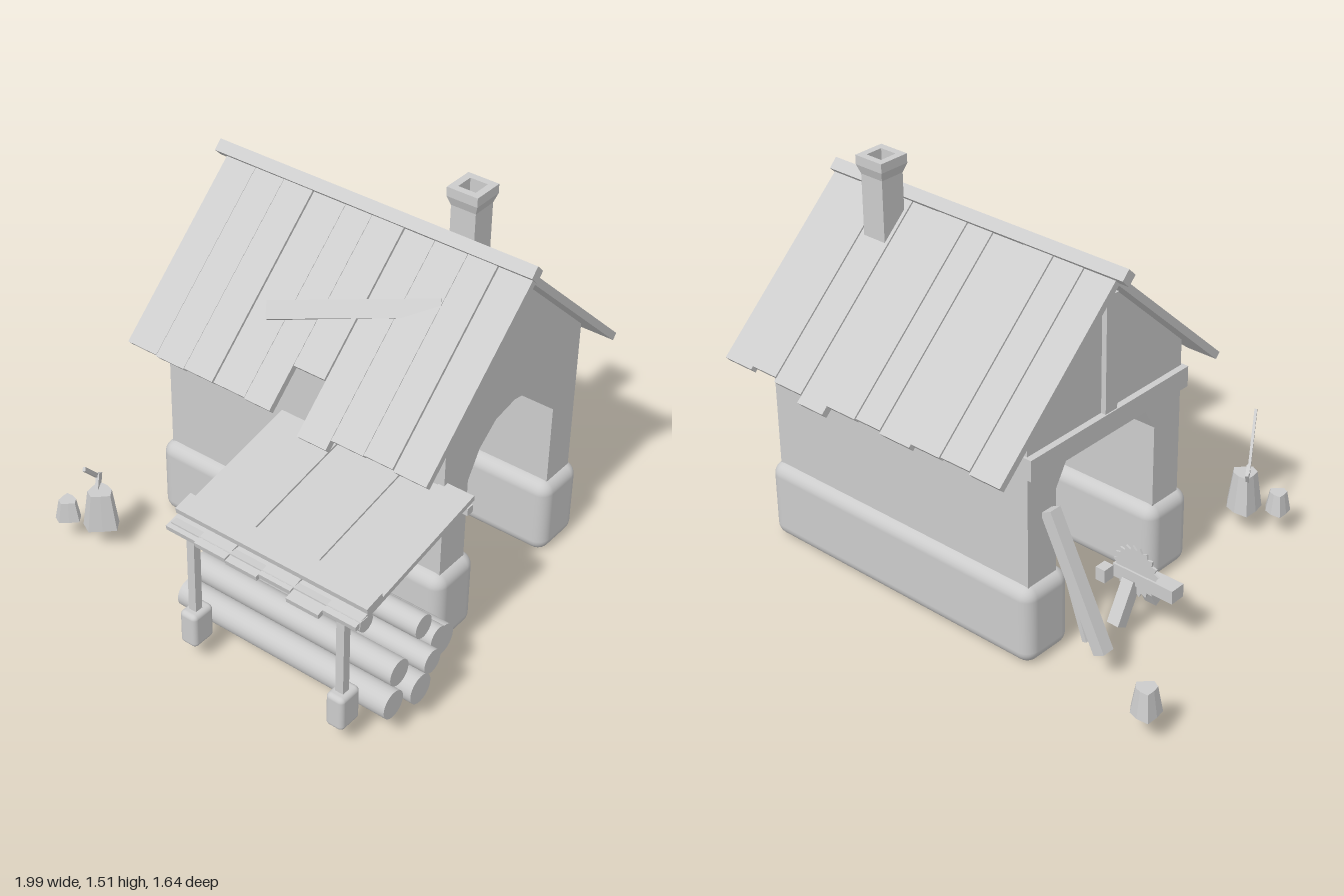
import * as THREE from 'three';
import { RoundedBoxGeometry } from 'three/addons/geometries/RoundedBoxGeometry.js';

const V = (x, y, z) => new THREE.Vector3(x, y, z);
const mat = new THREE.MeshStandardMaterial({ color: 0xcccccc });
const flat = new THREE.MeshStandardMaterial({ color: 0xcccccc, flatShading: true });

export function createModel() {
  const root = new THREE.Group();

  const add = (name, geometry, x = 0, y = 0, z = 0, material = mat) => {
    const m = new THREE.Mesh(geometry, material);
    m.name = name;
    m.position.set(x, y, z);
    root.add(m);
    return m;
  };
  // Box and rounded box given by their limits
  const box = (name, x0, x1, y0, y1, z0, z1, r = 0) => add(name,
    r ? new RoundedBoxGeometry(x1 - x0, y1 - y0, z1 - z0, 4, r) : new THREE.BoxGeometry(x1 - x0, y1 - y0, z1 - z0),
    (x0 + x1) / 2, (y0 + y1) / 2, (z0 + z1) / 2);
  // Board running from p to q
  const board = (name, p, q, w, t) => {
    const m = add(name, new THREE.BoxGeometry(w, t, p.distanceTo(q)));
    m.position.copy(p).lerp(q, 0.5);
    m.lookAt(q);
    return m;
  };

  // House walls: gabled section with an arched passage, extruded along x
  const mid = -0.22;
  const half = [[0.26, 0.2], [0.26, 0.63], [0.2, 0.73], [0.11, 0.8]];
  const outline = [[-0.4, 0.2], [-0.4, 0.92], [0, 1.29], [0.4, 0.92], [0.4, 0.2],
    ...half, [0, 0.82], ...half.map(([s, y]) => [-s, y]).reverse()];
  const section = new THREE.Shape(outline.map(([s, y]) => new THREE.Vector2(s, y)));
  const walls = add('walls', new THREE.ExtrudeGeometry(section, { depth: 1.21, bevelEnabled: false }), -0.4, 0, mid);
  walls.rotation.y = Math.PI / 2;

  // Stone foundations
  box('foundationFront', -0.43, 0.84, 0, 0.31, 0, 0.22, 0.05);
  box('foundationBack', -0.43, 0.84, 0, 0.31, -0.655, -0.435, 0.05);

  // Timber on the left gable
  box('gableBeam', -0.425, -0.385, 0.74, 0.82, -0.63, 0.19);
  box('gablePost', -0.42, -0.39, 0.82, 1.26, -0.25, -0.19);

  // Roof planks, end measured horizontally from the ridge
  const edges = [-0.445, -0.31, -0.18, -0.05, 0.09, 0.205, 0.34, 0.465, 0.6, 0.72, 0.855];
  const reach = { 1: [0.555, 0.56, 0.56, 0.555, 0.56, 0.435, 0.585, 0.56, 0.56, 0.56],
    '-1': [0.57, 0.565, 0.57, 0.575, 0.57, 0.575, 0.595, 0.575, 0.565, 0.57] };
  for (const side of [1, -1]) {
    for (let i = 0; i < 10; i++) {
      const r = reach[side][i], lift = (i % 3) * 0.004;
      const x = (edges[i] + edges[i + 1]) / 2, w = edges[i + 1] - edges[i] - 0.003;
      board('roofPlank', V(x, 1.318 + lift, mid), V(x, 1.318 + lift - r * 0.92, mid + side * r), w, 0.028);
    }
  }
  box('ridgeBeam', -0.485, 0.86, 1.317, 1.363, mid - 0.023, mid + 0.023).rotation.x = Math.PI / 4;
  board('roofPatch', V(0.02, 1.035, 0.135), V(0.6, 1.18, -0.065), 0.025, 0.065).rotateZ(-0.72);

  // Hollow chimney: square flue with a flared cap
  const k = Math.SQRT1_2 * 2;
  const profile = [[0.05, 1.0], [0.05, 1.44], [0.062, 1.475], [0.062, 1.51], [0.035, 1.51], [0.035, 1.42], [0, 1.42]];
  const flue = new THREE.LatheGeometry(profile.map(([r, y]) => new THREE.Vector2(r * k, y)), 4, Math.PI / 4).toNonIndexed();
  flue.computeVertexNormals();
  add('chimney', flue, 0.53, 0, -0.315, flat);

  // Lean-to roof
  const ends = [0.79, 0.8, 0.8, 0.79, 0.815, 0.795];
  ends.forEach((z, i) => {
    const x = 0.12 + (i + 0.5) * 0.133, lift = (i % 2) * 0.005;
    board('shelterPlank', V(x, 0.68 + lift, 0.16), V(x, 0.68 + lift - (z - 0.16) * 0.205, z), 0.131, 0.02);
  });
  box('shelterBatten', 0.12, 0.92, 0.588, 0.61, 0.66, 0.74).rotation.x = 0.2;
  box('shelterCrossbar', 0.13, 0.92, 0.545, 0.57, 0.735, 0.775);
  box('shelterWallRail', 0.13, 0.92, 0.635, 0.665, 0.17, 0.2);

  // Shelter posts with stone feet
  for (const x of [0.208, 0.838]) {
    box('shelterPost', x - 0.016, x + 0.016, 0.2, 0.56, 0.738, 0.77);
    box('postFoot', x - 0.036, x + 0.036, 0.08, 0.22, 0.7, 0.8, 0.018);
  }

  // Log pile: z, y, radius, start x, end x
  const logs = [[0.65, 0.155, 0.053, 0.08, 0.97], [0.535, 0.155, 0.056, 0.09, 0.995], [0.425, 0.155, 0.056, 0.1, 0.93],
    [0.305, 0.165, 0.06, 0.12, 0.92], [0.595, 0.245, 0.05, 0.09, 0.95], [0.48, 0.24, 0.045, 0.08, 1.0],
    [0.375, 0.24, 0.045, 0.1, 0.95], [0.525, 0.305, 0.036, 0.1, 0.76], [0.43, 0.315, 0.045, 0.1, 0.925]];
  for (const [z, y, r, x0, x1] of logs) {
    add('log', new THREE.CylinderGeometry(r, r, x1 - x0, 24), (x0 + x1) / 2, y, z).rotation.z = Math.PI / 2;
  }

  // Sawhorse with a toothed blade
  box('sawhorseBar', -0.73, -0.47, 0.2, 0.252, -0.262, -0.2);
  box('sawhorseBlock', -0.48, -0.44, 0.2, 0.252, -0.318, -0.27);
  board('sawhorseLeg', V(-0.545, 0.21, -0.2), V(-0.545, 0.065, -0.12), 0.05, 0.05);
  board('sawhorseLeg', V(-0.545, 0.21, -0.25), V(-0.545, 0.065, -0.33), 0.05, 0.05);
  const teeth = [];
  for (let i = 0; i < 40; i++) {
    const a = i / 40 * Math.PI * 2, r = i % 2 ? 0.1 : 0.084;
    teeth.push(new THREE.Vector2(r * Math.cos(a), r * Math.sin(a)));
  }
  add('sawBlade', new THREE.ExtrudeGeometry(new THREE.Shape(teeth), { depth: 0.008, bevelEnabled: false }), -0.565, 0.255, -0.254);

  // Planks leaning on the left gable
  board('leaningPlank', V(-0.415, 0.58, -0.525), V(-0.65, 0.11, -0.525), 0.05, 0.05);
  board('leaningPlank', V(-0.425, 0.44, -0.475), V(-0.56, 0.1, -0.49), 0.05, 0.02);

  // Rough tree stumps: tapered cylinders with an uneven rim
  const stump = (x, z, y0, h, r) => {
    const g = new THREE.CylinderGeometry(r * 0.68, r, h, 8);
    const p = g.attributes.position;
    for (let i = 0; i < p.count; i++) {
      const a = Math.atan2(p.getZ(i), p.getX(i)), s = 0.9 + 0.16 * Math.cos(3 * a + 0.6);
      p.setX(i, p.getX(i) * s);
      p.setZ(i, p.getZ(i) * s);
    }
    return add('stump', g, x, y0 + h / 2, z, flat);
  };
  stump(-0.945, -0.665, 0.1, 0.1, 0.06);
  stump(-0.46, 0.515, 0.095, 0.15, 0.073);
  stump(-0.575, 0.57, 0.1, 0.08, 0.052);

  // Axe stuck in the larger stump
  board('axeHandle', V(-0.5, 0.27, 0.48), V(-0.41, 0.44, 0.635), 0.01, 0.016);
  board('axeHead', V(-0.497, 0.285, 0.477), V(-0.478, 0.22, 0.51), 0.012, 0.05);

  return root;
}
